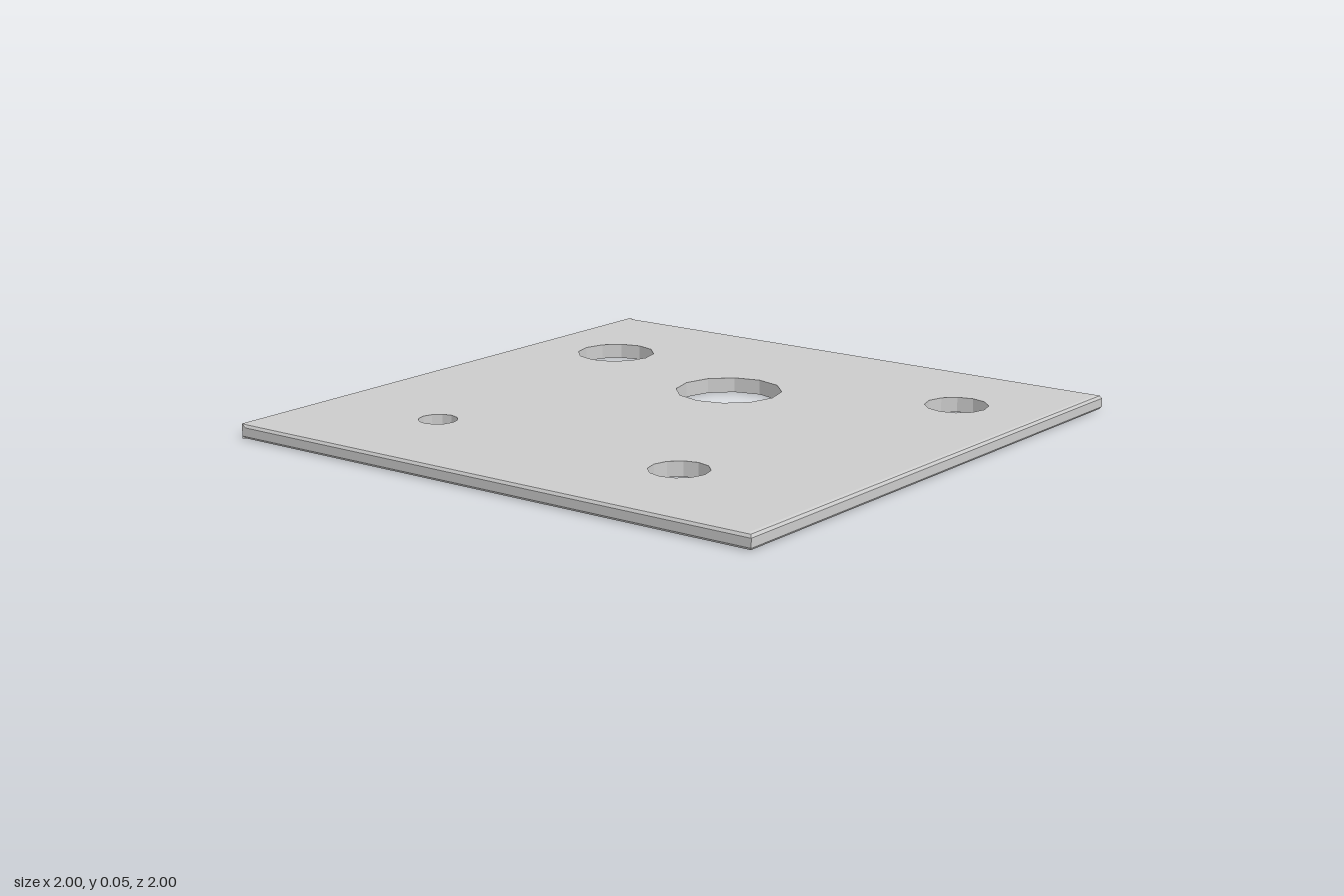
import * as THREE from 'three';

const H = 0.05;      // plate thickness
const INSET = 0.016; // width of the rounded rim
const HOLES = [      // x, z, radius
  [-0.68, -0.51, 0.135],
  [-0.028, -0.30, 0.178],
  [0.687, -0.587, 0.105],
  [-0.54, 0.58, 0.064],
  [0.44, 0.59, 0.096],
];
const SIDES = 12;

// Flat face with holes; dir = 1 faces up, -1 faces down
function faceGeometry(dir) {
  const e = 1 - INSET;
  const shape = new THREE.Shape([[-1, -e], [e, -e], [e, e], [-1, e]].map(p => new THREE.Vector2(...p)));
  for (const [x, z, r] of HOLES) {
    const pts = [];
    for (let i = 0; i < SIDES; i++) {
      const a = (i / SIDES) * Math.PI * 2;
      pts.push(new THREE.Vector2(x + r * Math.cos(a), -dir * z + r * Math.sin(a)));
    }
    shape.holes.push(new THREE.Path(pts));
  }
  return new THREE.ShapeGeometry(shape).rotateX(-dir * Math.PI / 2);
}

// Rounded profile swept round three sides, squared off where it meets the flat side
function rimGeometry() {
  const round = [[INSET, H], [0.006, H - 0.003], [0, H - 0.012], [0, 0.009], [0.005, 0.002], [INSET, 0]];
  const square = [[INSET, H], [0, H], [0, H - 0.012], [0, 0.009], [0, 0], [INSET, 0]];
  const stations = [
    d => [-1, 1 - d], d => [-1 + INSET, 1 - d], d => [1 - d, 1 - d],
    d => [1 - d, -1 + d], d => [-1 + INSET, -1 + d], d => [-1, -1 + d],
  ];
  const pos = [], idx = [], n = round.length;
  stations.forEach((at, i) => {
    const profile = i === 0 || i === stations.length - 1 ? square : round;
    profile.forEach(([d, y], j) => {
      const [x, z] = at(d);
      pos.push(x, y, z);
      if (i < stations.length - 1 && j < n - 1) {
        const a = i * n + j, b = a + n;
        idx.push(a, a + 1, b + 1, a, b + 1, b);
      }
    });
  });
  const g = new THREE.BufferGeometry();
  g.setAttribute('position', new THREE.Float32BufferAttribute(pos, 3));
  g.setIndex(idx);
  g.computeVertexNormals();
  return g;
}

export function createModel() {
  const group = new THREE.Group();
  group.name = 'perforatedPlate';
  const grey = new THREE.MeshStandardMaterial({ color: 0xcccccc, flatShading: true });
  const inner = grey.clone();
  inner.side = THREE.BackSide;

  const add = (name, geometry, material = grey) => {
    const mesh = new THREE.Mesh(geometry, material);
    mesh.name = name;
    group.add(mesh);
    return mesh;
  };

  // Plate faces
  add('topFace', faceGeometry(1)).position.y = H;
  add('bottomFace', faceGeometry(-1));

  // Rim and flat side
  add('roundedRim', rimGeometry());
  add('flatSide', new THREE.PlaneGeometry(2, H).rotateY(-Math.PI / 2)).position.set(-1, H / 2, 0);

  // Hole walls
  HOLES.forEach(([x, z, r], i) => {
    const wall = new THREE.CylinderGeometry(r, r, H, SIDES, 1, true);
    add('holeWall' + (i + 1), wall, inner).position.set(x, H / 2, z);
  });
  return group;
}
